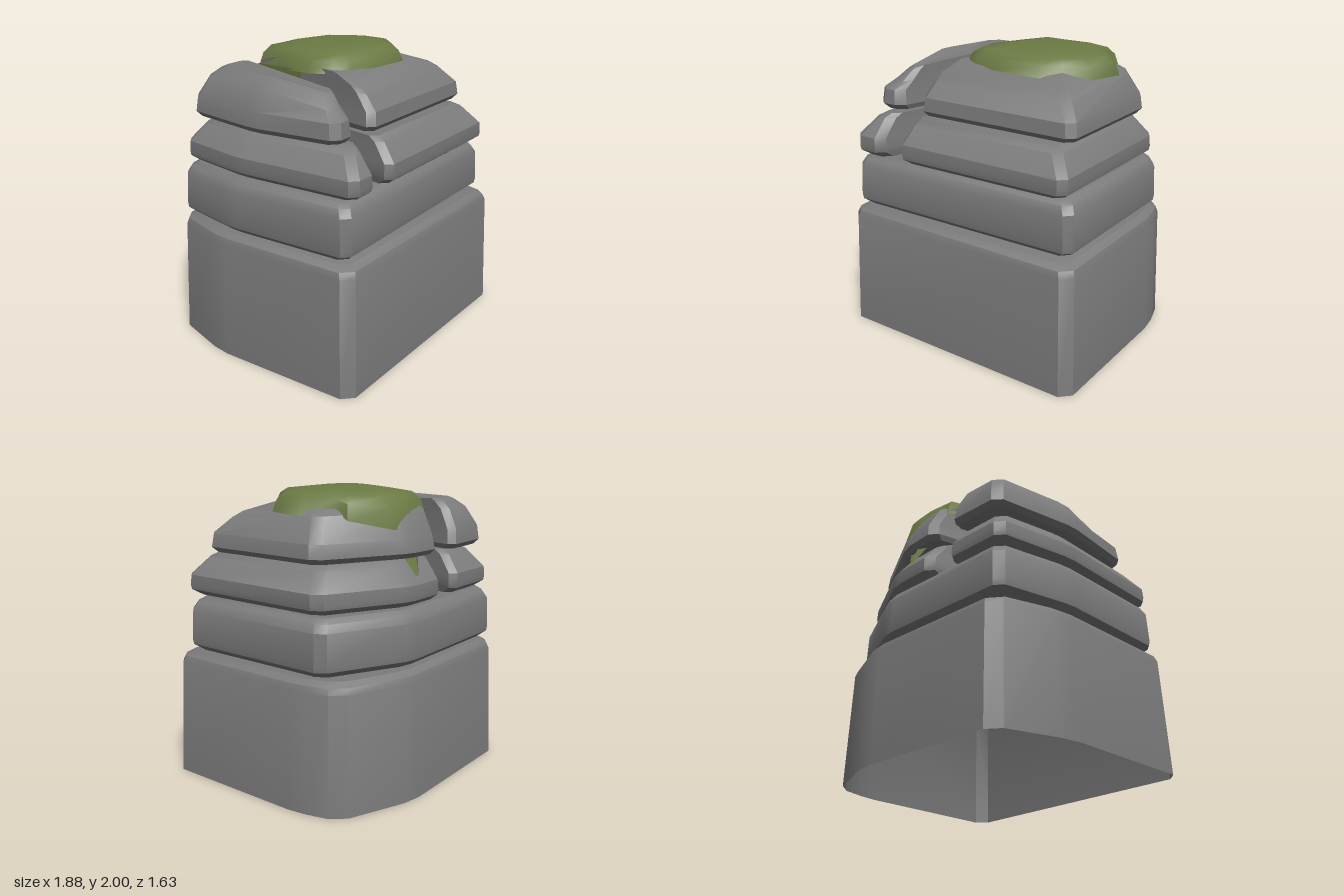
import * as THREE from 'three';
import { toCreasedNormals } from 'three/addons/utils/BufferGeometryUtils.js';

const stone = new THREE.MeshStandardMaterial({ color: 0x7c7c7c, side: THREE.DoubleSide });
stone.name = 'grey stone';
const moss = new THREE.MeshStandardMaterial({ color: 0x6c7b45, side: THREE.DoubleSide });
moss.name = 'green moss';

// Move every edge of an [x, z] outline inward; edges listed in `cuts` stay nearly upright.
function inset(poly, d, cuts) {
  const n = poly.length;
  const lines = poly.map((p, i) => {
    const q = poly[(i + 1) % n];
    const dx = q[0] - p[0], dz = q[1] - p[1], l = Math.hypot(dx, dz);
    const k = cuts.includes(i) ? Math.min(d, 0.015) : d;
    return { x: p[0] + (dz / l) * k, z: p[1] - (dx / l) * k, dx, dz };
  });
  return lines.map((b, i) => {
    const a = lines[(i + n - 1) % n];
    const t = ((b.x - a.x) * b.dz - (b.z - a.z) * b.dx) / (a.dx * b.dz - a.dz * b.dx);
    return [a.x + a.dx * t, a.z + a.dz * t];
  });
}

// Replace each corner by two points.
function chamfer(poly, c) {
  const n = poly.length;
  return poly.flatMap((p, i) => [poly[(i + n - 1) % n], poly[(i + 1) % n]].map((q) => {
    const l = Math.hypot(q[0] - p[0], q[1] - p[1]);
    const t = Math.min(c / l, 0.35);
    return [p[0] + (q[0] - p[0]) * t, p[1] + (q[1] - p[1]) * t];
  }));
}

// Skin a stack of equal rings of [x, y, z], with fan caps.
function skin(rings, { bottom = true, crease = 0.5, apex = null } = {}) {
  const n = rings[0].length;
  const pos = rings.flat(2);
  const index = [];
  for (let r = 0; r < rings.length - 1; r++) {
    for (let i = 0; i < n; i++) {
      const a = r * n + i, b = r * n + (i + 1) % n;
      index.push(a, b, b + n, a, b + n, a + n);
    }
  }
  const cap = (r, up, point) => {
    const c = point || [0, 1, 2].map((k) => rings[r].reduce((s, p) => s + p[k], 0) / n);
    const id = pos.length / 3;
    pos.push(...c);
    for (let i = 0; i < n; i++) {
      const a = r * n + i, b = r * n + (i + 1) % n;
      index.push(id, up ? a : b, up ? b : a);
    }
  };
  cap(rings.length - 1, true, apex);
  if (bottom) cap(0, false);
  const g = new THREE.BufferGeometry();
  g.setAttribute('position', new THREE.Float32BufferAttribute(pos, 3));
  g.setIndex(index);
  return toCreasedNormals(g, crease);
}

// A bevelled slab: profile rows are [height, inset]; slope lowers the front of the upper rows.
function slab(name, outline, profile, { cuts = [], corner = 0.05, slope = 0, bottom = true } = {}) {
  const rings = profile.map(([y, d]) => chamfer(inset(outline, d, cuts), corner)
    .map(([x, z]) => [x, y - (y > 1.75 ? slope * Math.max(0, z - 0.15) : 0), z]));
  const mesh = new THREE.Mesh(skin(rings, { bottom }), stone);
  mesh.name = name;
  return mesh;
}

// Thin hanging scrap of moss made of triangles.
function scrap(name, triangles) {
  const g = new THREE.BufferGeometry();
  g.setAttribute('position', new THREE.Float32BufferAttribute(triangles.flat(2), 3));
  g.computeVertexNormals();
  const mesh = new THREE.Mesh(g, moss);
  mesh.name = name;
  return mesh;
}

export function createModel() {
  const group = new THREE.Group();
  group.name = 'mossyRockStack';

  // Base block, open underneath
  group.add(slab('baseBlock',
    [[-0.94, 0.775], [0.94, 0.815], [0.94, -0.33], [0.86, -0.62], [0.34, -0.82], [-0.78, -0.79], [-0.94, -0.3]],
    [[0, 0], [0.8, 0.025], [0.84, 0.04], [0.87, 0.085]], { corner: 0.07, bottom: false }));

  // Second, unbroken layer
  group.add(slab('secondLayer',
    [[-0.88, 0.71], [0.87, 0.71], [0.87, -0.48], [0.28, -0.755], [-0.77, -0.73], [-0.89, -0.2]],
    [[0.88, 0.06], [0.925, 0.005], [0.96, 0], [1.17, 0.008], [1.22, 0.035], [1.25, 0.075]]));

  // Third layer, split by the diagonal cleft
  const thirdProfile = [[1.26, 0.06], [1.3, 0.005], [1.33, 0], [1.4, 0.005], [1.52, 0.1], [1.55, 0.15]];
  group.add(slab('thirdLayerRight',
    [[-0.84, 0.74], [-0.605, 0.74], [-0.27, -0.71], [-0.75, -0.7], [-0.86, -0.15]],
    thirdProfile, { cuts: [1] }));
  group.add(slab('thirdLayerLeft',
    [[-0.46, 0.74], [0.84, 0.74], [0.84, -0.43], [0.25, -0.72], [-0.11, -0.72]],
    thirdProfile, { cuts: [4] }));

  // Top layer, split by the same cleft
  group.add(slab('topLayerRight',
    [[-0.77, 0.56], [-0.57, 0.56], [-0.27, -0.69], [-0.7, -0.67], [-0.82, -0.05]],
    [[1.565, 0.03], [1.6, 0], [1.7, 0.012], [1.83, 0.08], [1.88, 0.14], [1.895, 0.17]],
    { cuts: [1], slope: 0.25 }));
  group.add(slab('topLayerLeft',
    [[-0.41, 0.57], [0.79, 0.57], [0.79, -0.38], [0.2, -0.68], [-0.1, -0.69]],
    [[1.565, 0.03], [1.6, 0], [1.69, 0.012], [1.85, 0.1], [1.88, 0.15], [1.91, 0.3]],
    { cuts: [4], slope: 0.2 }));

  // Moss cushion: ragged rim rising to a flat dome
  const rim = [
    [-0.28, 1.87, 0.19], [-0.17, 1.87, 0.26], [0.05, 1.875, 0.31], [0.38, 1.87, 0.32], [0.5, 1.87, 0.21],
    [0.65, 1.84, 0.1], [0.7, 1.82, -0.17], [0.53, 1.87, -0.32], [0.55, 1.82, -0.44], [0.28, 1.75, -0.6],
    [0.1, 1.73, -0.615], [-0.12, 1.8, -0.57], [-0.21, 1.84, -0.3], [-0.31, 1.86, 0],
  ];
  const cx = 0.18, cz = -0.13;
  const rings = [[1, 0], [0.93, 0.55], [0.82, 0.82], [0.5, 0.95]].map(([s, lift]) =>
    rim.map(([x, y, z]) => [cx + (x - cx) * s, y + (2 - y) * lift, cz + (z - cz) * s]));
  const cushion = new THREE.Mesh(skin(rings, { bottom: false, crease: 1, apex: [cx, 2, cz] }), moss);
  cushion.name = 'mossCushion';
  group.add(cushion);

  // Moss scraps hanging in the cleft and over the back
  group.add(scrap('cleftMoss', [
    [[-0.28, 1.87, -0.05], [-0.15, 1.84, -0.55], [-0.23, 1.5, -0.27]],
    [[-0.3, 1.255, 0], [-0.19, 1.255, -0.43], [-0.235, 1.56, -0.25]],
  ]));
  group.add(scrap('backMoss', [
    [[0.02, 1.6, -0.6], [0.22, 1.6, -0.61], [0.13, 1.42, -0.69]],
    [[0.02, 1.6, -0.6], [0.13, 1.42, -0.69], [0.1, 1.6, -0.64]],
  ]));

  return group;
}
